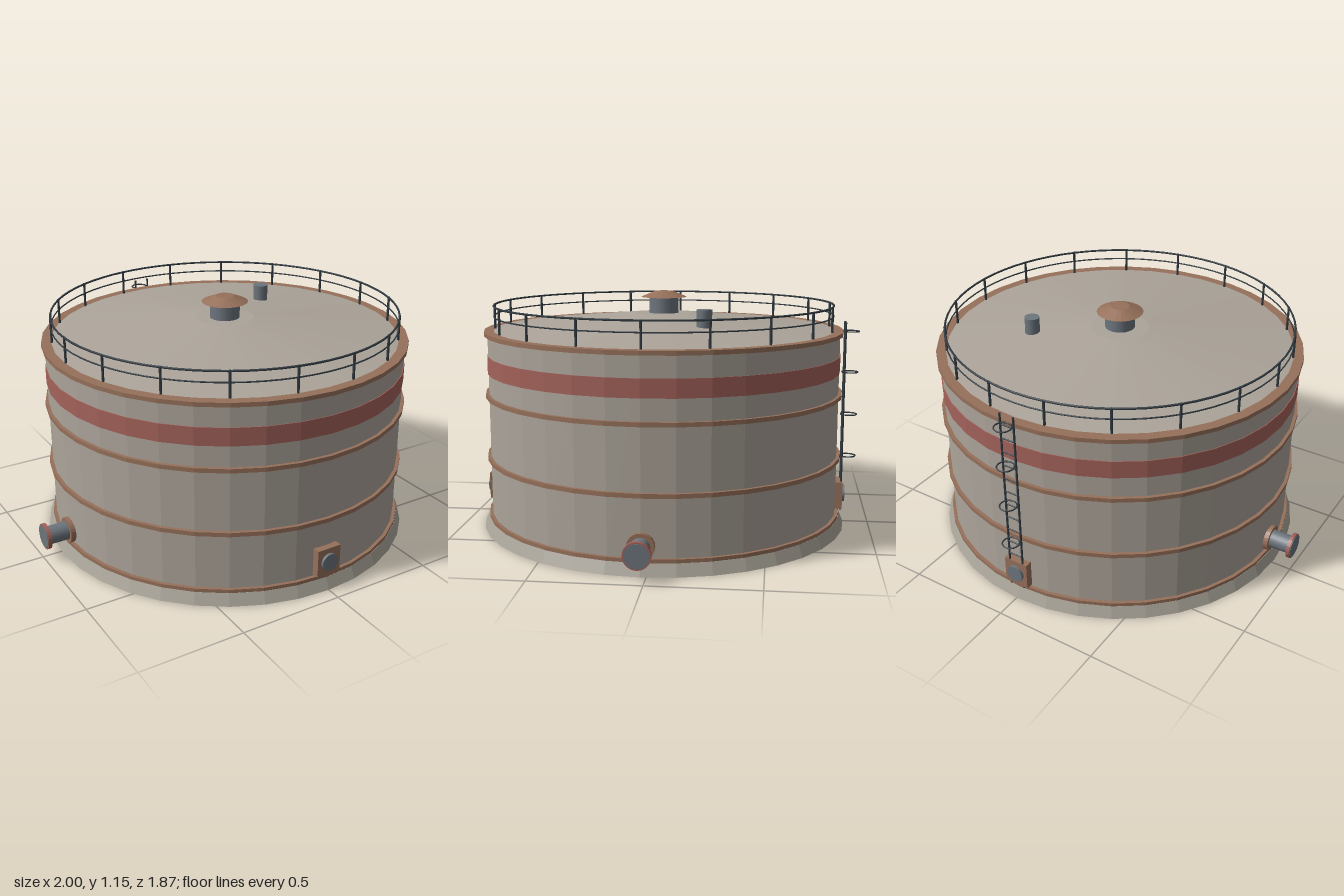
import * as THREE from 'three';

const paint = (name, color, flat = false) => {
  const m = new THREE.MeshStandardMaterial({ color, flatShading: flat });
  m.name = name;
  return m;
};

export function createModel() {
  const shellPaint = paint('warm grey shell', 0xaca49a, true);
  const basePaint = paint('concrete', 0xa8a398, true);
  const bandPaint = paint('faded red', 0xa3625a, true);
  const rustPaint = paint('rust brown', 0x96705a, true);
  const steelPaint = paint('steel', 0x6c757d);
  const railPaint = paint('dark railing', 0x323c43);

  const model = new THREE.Group();
  model.name = 'storageTank';
  const tank = new THREE.Group();
  tank.name = 'tank';
  tank.position.z = 0.027; // leaves room for the ladder cage at the back
  model.add(tank);

  const add = (name, geo, mat, x = 0, y = 0, z = 0, parent = tank) => {
    const mesh = new THREE.Mesh(geo, mat);
    mesh.name = name;
    mesh.position.set(x, y, z);
    parent.add(mesh);
    return mesh;
  };
  // Upright cylinder from y0 to y1
  const column = (name, mat, r0, r1, y0, y1, x = 0, z = 0, seg = 36, parent = tank) =>
    add(name, new THREE.CylinderGeometry(r1, r0, y1 - y0, seg), mat, x, (y0 + y1) / 2, z, parent);
  // Horizontal ring
  const hoop = (name, r, tube, y, z, seg, parent) =>
    add(name, new THREE.TorusGeometry(r, tube, 6, seg).rotateX(Math.PI / 2), railPaint, 0, y, z, parent);

  // Shell, base, roof and bands
  column('base', basePaint, 0.905, 0.882, 0, 0.055);
  column('shell', shellPaint, 0.865, 0.865, 0.05, 0.964);
  column('paintedBand', bandPaint, 0.869, 0.869, 0.766, 0.85);
  column('roof', shellPaint, 0.862, 0.14, 0.964, 1.042);
  for (const y of [0.062, 0.35, 0.657, 0.957]) {
    column('stiffenerRing', rustPaint, 0.881, 0.881, y - 0.01, y + 0.01);
  }

  // Roof vent with cap, and a small pipe
  column('ventNeck', steelPaint, 0.072, 0.072, 1.02, 1.122, 0, 0, 20);
  column('ventCap', rustPaint, 0.112, 0.045, 1.12, 1.148, 0, 0, 20);
  column('roofPipe', steelPaint, 0.036, 0.036, 1.0, 1.09, 0.355, -0.227, 16);

  // Guard rail
  const guard = new THREE.Group();
  guard.name = 'guardRail';
  tank.add(guard);
  for (let i = 0; i < 18; i++) {
    const a = (i * Math.PI) / 9;
    column('railPost', railPaint, 0.006, 0.006, 0.96, 1.09, 0.83 * Math.cos(a), 0.83 * Math.sin(a), 8, guard);
  }
  hoop('topRail', 0.83, 0.005, 1.086, 0, 72, guard);
  hoop('midRail', 0.83, 0.0035, 1.036, 0, 72, guard);

  // Side nozzles, built along +x and turned for the other side
  for (const side of [0, Math.PI]) {
    const nozzle = new THREE.Group();
    nozzle.name = side ? 'rightNozzle' : 'leftNozzle';
    nozzle.position.y = 0.125;
    nozzle.rotation.y = side;
    tank.add(nozzle);
    const disc = (name, mat, r, x0, x1) =>
      add(name, new THREE.CylinderGeometry(r, r, x1 - x0, 24).rotateZ(Math.PI / 2), mat, (x0 + x1) / 2, 0, 0, nozzle);
    disc('nozzlePad', rustPaint, 0.062, 0.845, 0.884);
    disc('nozzlePipe', steelPaint, 0.044, 0.86, 0.985);
    disc('nozzleFlange', bandPaint, 0.062, 0.98, 0.997);
    disc('nozzleCover', steelPaint, 0.055, 0.99, 1.0);
  }

  // Manways, front and back
  for (const side of [0, Math.PI]) {
    const manway = new THREE.Group();
    manway.name = side ? 'backManway' : 'frontManway';
    manway.position.y = 0.147;
    manway.rotation.y = side;
    tank.add(manway);
    add('manwayFrame', new THREE.BoxGeometry(0.122, 0.134, 0.045), rustPaint, 0, 0, 0.873, manway);
    add('manwayCover', new THREE.CylinderGeometry(0.042, 0.042, 0.03, 20).rotateX(Math.PI / 2),
      steelPaint, 0, 0, 0.893, manway);
  }

  // Caged ladder at the back
  const ladder = new THREE.Group();
  ladder.name = 'ladder';
  tank.add(ladder);
  const ladderZ = -0.889;
  for (const x of [-0.036, 0.036]) {
    column('ladderRail', railPaint, 0.005, 0.005, 0.07, 1.005, x, ladderZ, 8, ladder);
  }
  for (let i = 0; i < 13; i++) {
    add('rung', new THREE.CylinderGeometry(0.0035, 0.0035, 0.072, 6).rotateZ(Math.PI / 2),
      railPaint, 0, 0.11 + i * 0.07, ladderZ, ladder);
  }
  for (const y of [0.34, 0.55, 0.76, 0.96]) {
    hoop('cageHoop', 0.039, 0.0035, y, -0.917, 20, ladder);
  }

  return model;
}
